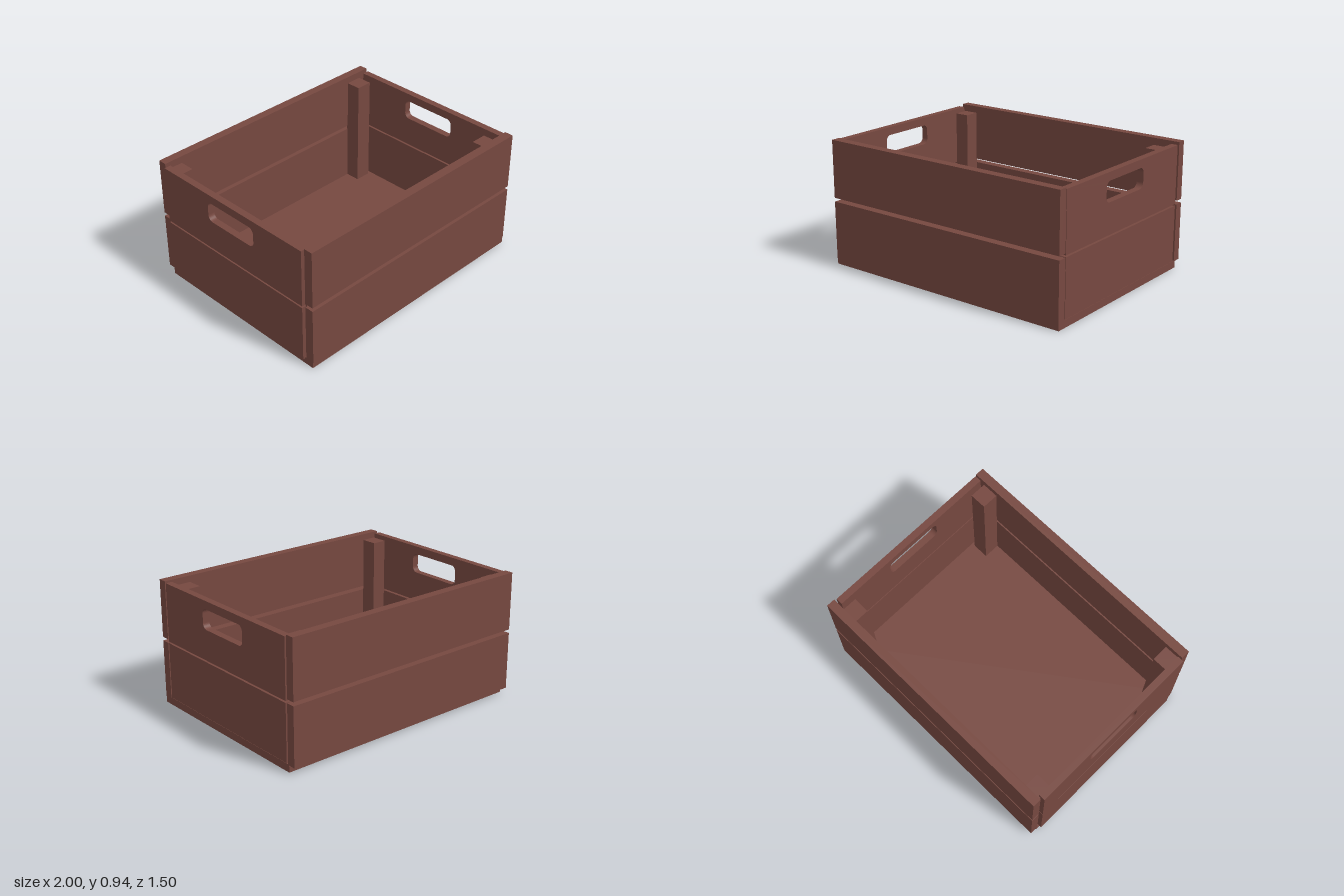
import * as THREE from 'three';

const wood = new THREE.MeshStandardMaterial({ color: 0x764840, flatShading: true });

// Box given by its minimum and maximum on each axis
function plank(name, [x0, x1], [y0, y1], [z0, z1]) {
  const mesh = new THREE.Mesh(new THREE.BoxGeometry(x1 - x0, y1 - y0, z1 - z0), wood);
  mesh.position.set((x0 + x1) / 2, (y0 + y1) / 2, (z0 + z1) / 2);
  mesh.name = name;
  return mesh;
}

// Rounded handle slot, drawn in (-z, y)
function slot(x0, x1, y0, y1, r) {
  const p = new THREE.Path();
  p.moveTo(x0 + r, y0);
  p.lineTo(x1 - r, y0);
  p.absarc(x1 - r, y0 + r, r, -Math.PI / 2, 0);
  p.lineTo(x1, y1 - r);
  p.absarc(x1 - r, y1 - r, r, 0, Math.PI / 2);
  p.lineTo(x0 + r, y1);
  p.absarc(x0 + r, y1 - r, r, Math.PI / 2, Math.PI);
  p.lineTo(x0, y0 + r);
  p.absarc(x0 + r, y0 + r, r, Math.PI, Math.PI * 1.5);
  return p;
}

// Upper end board with the handle cut through it
function handleBoard(name, [x0, x1], [y0, y1], [z0, z1]) {
  const shape = new THREE.Shape([
    new THREE.Vector2(-z1, y0), new THREE.Vector2(-z0, y0),
    new THREE.Vector2(-z0, y1), new THREE.Vector2(-z1, y1),
  ]);
  shape.holes.push(slot(-0.228, 0.22, 0.713, 0.86, 0.04));
  const geo = new THREE.ExtrudeGeometry(shape, { depth: x1 - x0, bevelEnabled: false, curveSegments: 6 });
  geo.rotateY(Math.PI / 2);
  const mesh = new THREE.Mesh(geo, wood);
  mesh.position.x = x0;
  mesh.name = name;
  return mesh;
}

export function createModel() {
  const crate = new THREE.Group();
  crate.name = 'crate';
  const longX = [-0.98, 0.995];

  // Floor panel
  crate.add(plank('floor', longX, [0, 0.055], [-0.695, 0.744]));

  // Long boards, two per side
  for (const [side, z, lift] of [['front', [0.682, 0.748], 0], ['back', [-0.748, -0.684], 0.005]]) {
    crate.add(plank(side + 'LowerBoard', longX, [0.045 + lift, 0.475 + lift], z));
    crate.add(plank(side + 'UpperBoard', longX, [0.503 + lift, 0.932 + lift], z));
  }

  // End boards, the upper ones with handles
  const endZ = [-0.666, 0.674];
  for (const [side, x] of [['right', [-1, -0.95]], ['left', [0.942, 0.993]]]) {
    crate.add(plank(side + 'LowerBoard', x, [0.045, 0.475], endZ));
    crate.add(handleBoard(side + 'HandleBoard', x, [0.488, 0.92], endZ));
  }

  // Corner posts
  for (const [sideX, x] of [['Right', [-0.965, -0.84]], ['Left', [0.79, 0.915]]]) {
    for (const [sideZ, z] of [['front', [0.557, 0.681]], ['back', [-0.69, -0.57]]]) {
      crate.add(plank(sideZ + sideX + 'Post', x, [0.05, 0.885], z));
    }
  }
  return crate;
}
